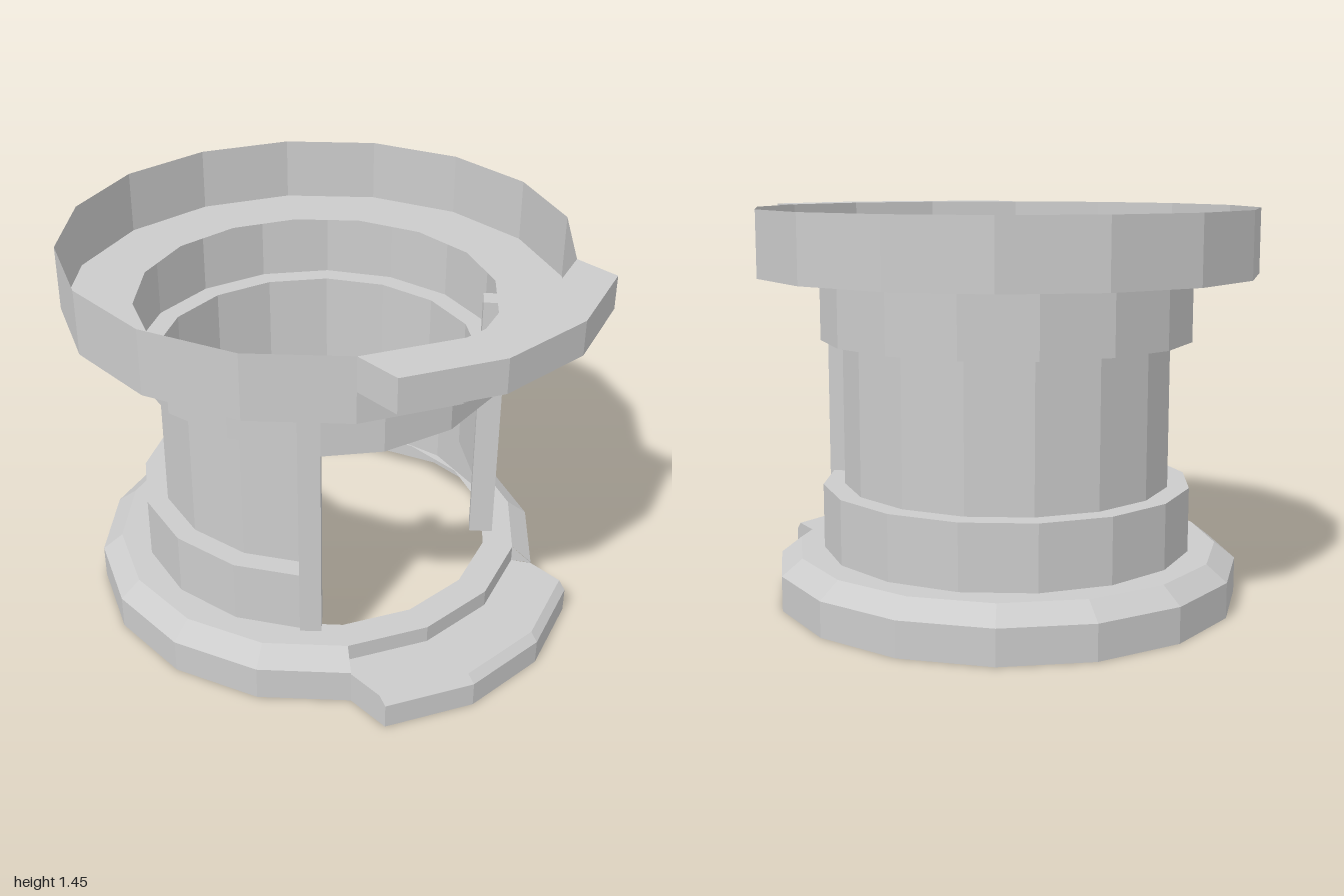
import * as THREE from 'three';

const PI = Math.PI;
const mat = new THREE.MeshStandardMaterial({ color: 0xcccccc, flatShading: true, side: THREE.DoubleSide });
const STEP = PI / 8; // every ring has 16 sides

export function createModel() {
  const model = new THREE.Group();
  const spool = new THREE.Group();
  spool.name = 'spool';
  spool.position.x = -0.09;
  model.add(spool);

  const add = (name, geometry) => {
    const mesh = new THREE.Mesh(geometry, mat);
    mesh.name = name;
    spool.add(mesh);
    return mesh;
  };
  // Thin faceted shell turned about the spool axis
  const shell = (name, profile, start = PI / 16, sides = 16) =>
    add(name, new THREE.LatheGeometry(profile.map(([r, y]) => new THREE.Vector2(r, y)), sides, start, sides * STEP));

  // Three-sided tab: the ring's outline pushed sideways
  const tab = (name, r, y0, y1, chamfer = 0) => {
    const pts = [-1.5, -0.5, 0.5, 1.5].map(k => [r * Math.cos(k * STEP), r * Math.sin(k * STEP)]);
    const outline = [...pts.map(([x, z]) => [x + 0.177, z]), ...[...pts].reverse()];
    const shape = new THREE.Shape(outline.map(([x, z]) => new THREE.Vector2(x, z)));
    const h = y1 - y0;
    const g = new THREE.ExtrudeGeometry(shape, { depth: h, steps: 2, bevelEnabled: false });
    g.rotateX(-PI / 2).translate(0, y0, 0);
    const p = g.attributes.position;
    for (let i = 0; i < p.count; i++) {
      const outer = Math.hypot(p.getX(i), p.getZ(i)) > r + 0.02;
      const level = Math.round((p.getY(i) - y0) / h * 2);
      if (level === 1 && chamfer) p.setY(i, y1 - chamfer);
      if (level === 2 && outer) p.setX(i, p.getX(i) - chamfer);
    }
    g.computeVertexNormals();
    return add(name, g);
  };

  // Base flange: bevelled all round, stepped behind the tab
  shell('baseFlange', [[0.867, 0], [0.867, 0.13], [0.79, 0.19], [0.673, 0.19]], 11 * PI / 16, 13);
  shell('baseFlangeStep', [[0.867, 0], [0.867, 0.125], [0.79, 0.125], [0.79, 0.19], [0.673, 0.19]], 5 * PI / 16, 3);
  tab('baseTab', 0.867, 0, 0.125, 0.03);

  // Small triangles closing the bevel beside the step
  for (const s of [-1, 1]) {
    const a = s * 1.5 * STEP;
    const g = new THREE.BufferGeometry().setFromPoints(
      [[0.867, 0.127], [0.79, 0.19], [0.79, 0.125]].map(([r, y]) => new THREE.Vector3(r * Math.cos(a), y, r * Math.sin(a))));
    g.computeVertexNormals();
    add('bevelEnd', g);
  }

  // Barrel with two wider collars, open on the tab side
  shell('barrel', [[0.69, 0.19], [0.69, 0.43], [0.61, 0.43], [0.61, 0.97], [0.69, 0.97], [0.69, 1.21]], 3 * PI / 4, 12);

  // Band above the window
  shell('windowHeader', [[0.61, 0.94], [0.7, 0.94], [0.7, 1.21]], PI / 4, 4);

  // Posts on both sides of the window
  for (const s of [-1, 1]) {
    const a = s * 43.7 * PI / 180;
    const post = add('windowPost', new THREE.BoxGeometry(0.09, 1.02, 0.078));
    post.position.set(0.655 * Math.cos(a), 0.7, 0.655 * Math.sin(a));
    post.rotation.y = -a;
  }

  // Top flange: flat floor with an upright rim
  shell('topFlange', [[0.673, 1.21], [0.928, 1.21], [0.928, 1.45]]);
  tab('topTab', 0.928, 1.325, 1.45);

  return model;
}
